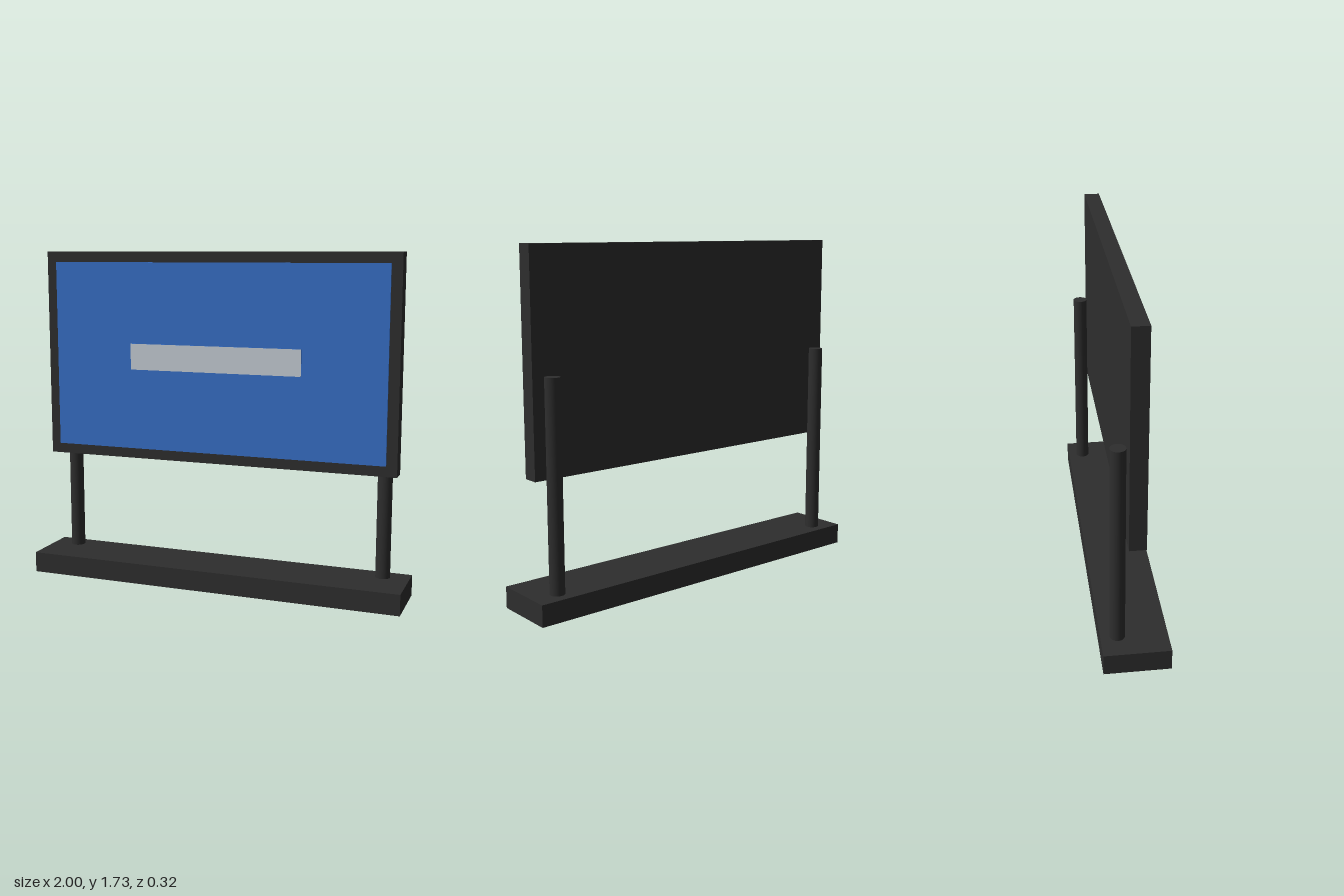
import * as THREE from 'three';

export function createModel() {
  const model = new THREE.Group();
  const frameMat = new THREE.MeshStandardMaterial({ name: 'charcoal', color: 0x2e2e2e });
  const blueMat = new THREE.MeshStandardMaterial({ name: 'panel blue', color: 0x3870c8 });
  const stripMat = new THREE.MeshStandardMaterial({ name: 'pale grey', color: 0xc6ced6 });

  const add = (name, geometry, material, x, y, z) => {
    const mesh = new THREE.Mesh(geometry, material);
    mesh.name = name;
    mesh.position.set(x, y, z);
    model.add(mesh);
  };

  // Foot slab and the board it carries
  add('base', new THREE.BoxGeometry(2, 0.108, 0.324), frameMat, 0, 0.054, 0);
  add('boardFrame', new THREE.BoxGeometry(1.89, 1.08, 0.081), frameMat, 0, 1.192, 0.001);

  // Round posts behind the board
  for (const [name, side] of [['leftPost', 1], ['rightPost', -1]]) {
    add(name, new THREE.CylinderGeometry(0.037, 0.037, 1.03, 24), frameMat, side * 0.865, 0.622, -0.08);
  }

  // Blue panel, and a strip with a pale front and blue edges
  add('panel', new THREE.BoxGeometry(1.782, 0.973, 0.009), blueMat, 0, 1.192, 0.0455);
  add('strip', new THREE.BoxGeometry(0.92, 0.135, 0.006),
    [blueMat, blueMat, blueMat, blueMat, stripMat, blueMat], 0, 1.192, 0.053);

  return model;
}
